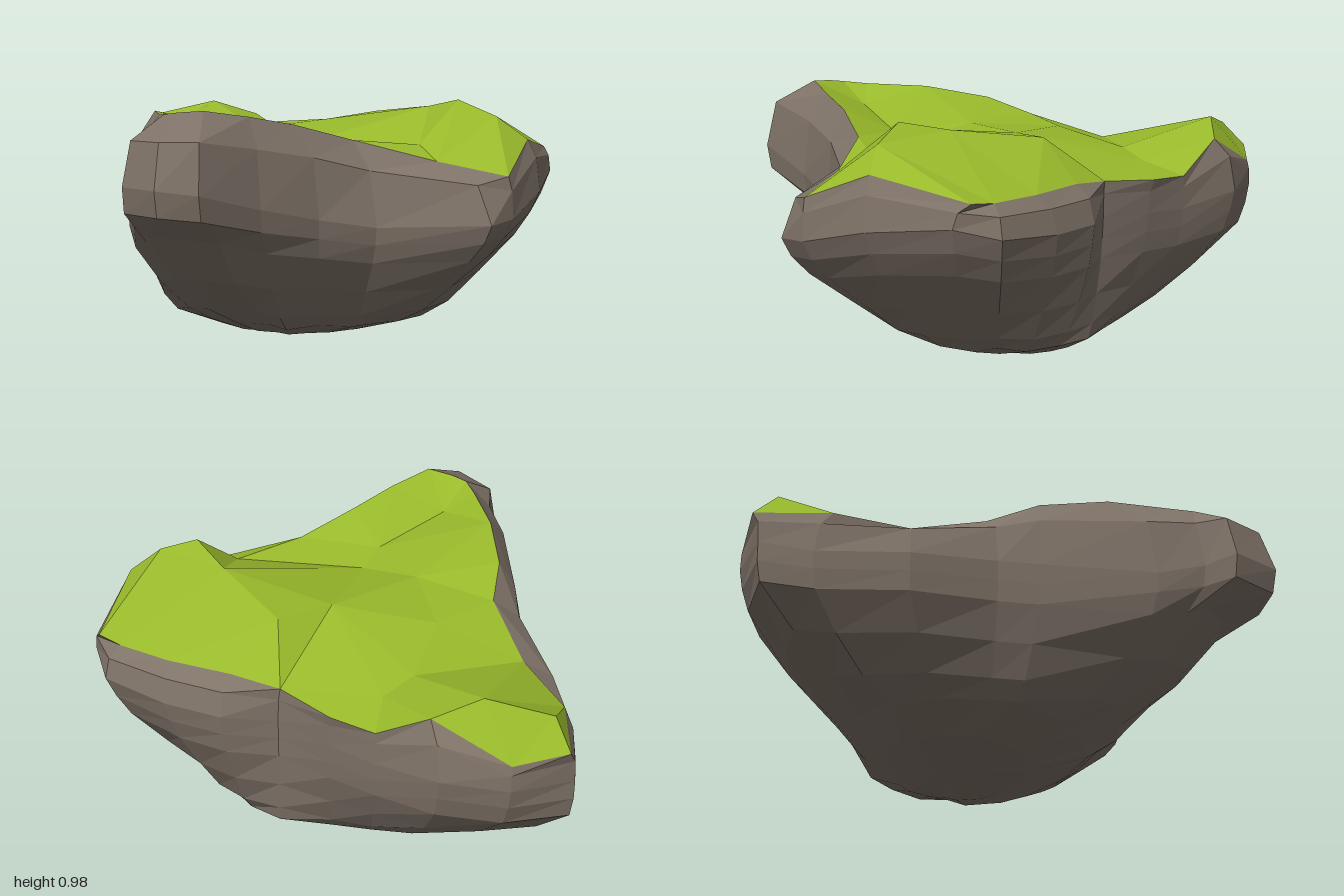
import * as THREE from 'three';

// Widest outline of the boulder, [x, y, z], running from the back corner round by +x.
const girth = [
  [-0.92, 0.58, -0.9], [-0.7, 0.58, -1], [-0.45, 0.6, -1], [-0.21, 0.56, -0.85], [-0.03, 0.57, -0.76],
  [0.17, 0.58, -0.64], [0.38, 0.6, -0.67], [0.6, 0.6, -0.6], [0.85, 0.62, -0.48], [0.92, 0.66, -0.32],
  [0.9, 0.62, 0.02], [0.82, 0.55, 0.3], [0.75, 0.54, 0.42], [0.32, 0.52, 0.41], [0.12, 0.56, 0.52],
  [-0.06, 0.62, 0.71], [-0.23, 0.7, 0.96], [-0.38, 0.72, 1], [-0.54, 0.71, 0.84], [-0.54, 0.66, 0.72],
  [-0.6, 0.6, 0.54], [-0.68, 0.6, 0.1], [-0.71, 0.6, -0.05], [-0.86, 0.56, -0.36], [-0.92, 0.54, -0.7],
];
// Edge where the rock meets the grass, point for point with the girth.
const rim = [
  [-0.9, 0.71, -0.93], [-0.7, 0.68, -0.99], [-0.41, 0.81, -0.92], [-0.21, 0.69, -0.85], [-0.04, 0.7, -0.78],
  [0.16, 0.72, -0.64], [0.35, 0.74, -0.59], [0.6, 0.74, -0.52], [0.8, 0.74, -0.43], [0.89, 0.75, -0.38],
  [0.85, 0.82, 0.02], [0.8, 0.71, 0.3], [0.53, 0.76, 0.29], [0.22, 0.84, 0.34], [0.02, 0.91, 0.49],
  [-0.12, 0.95, 0.63], [-0.26, 0.98, 0.75], [-0.36, 0.97, 0.72], [-0.42, 0.96, 0.69], [-0.46, 0.95, 0.6],
  [-0.54, 0.94, 0.36], [-0.59, 0.9, 0.1], [-0.58, 0.84, -0.1], [-0.71, 0.74, -0.37], [-0.87, 0.72, -0.64],
];
// Humps and hollows of the grass.
const humps = [
  [0.58, 0.97, 0.02], [0.73, 0.91, 0.04], [0.45, 0.93, -0.13], [0.45, 0.81, 0.18], [-0.05, 0.79, 0.2],
  [-0.27, 0.84, 0.06], [-0.1, 0.82, 0.33], [-0.34, 0.88, 0.56], [0.2, 0.88, -0.41], [0.02, 0.86, -0.24],
  [-0.32, 0.77, -0.57], [-0.22, 0.74, -0.68], [-0.59, 0.87, -0.86], [-0.84, 0.81, -0.85], [-0.38, 0.83, -0.28],
];

const lerp = THREE.MathUtils.lerp;
const mix = (a, b, t, ty) => [lerp(a[0], b[0], t), lerp(a[1], b[1], ty), lerp(a[2], b[2], t)];

// Small repeatable offset that roughens the facets.
const rough = (i, k, size) => size * Math.sin(i * 12.9 + k * 7.3 + Math.sin(i * 3.7));

function facetedMesh(name, positions, color) {
  const geometry = new THREE.BufferGeometry();
  geometry.setAttribute('position', new THREE.Float32BufferAttribute(positions, 3));
  geometry.computeVertexNormals();
  const mesh = new THREE.Mesh(geometry, new THREE.MeshStandardMaterial({ color, flatShading: true }));
  mesh.name = name;
  return mesh;
}

// Joins rings of points from the foot upwards; a ring of one point closes the surface.
function skin(rings) {
  const out = [];
  for (let r = 0; r < rings.length - 1; r++) {
    const low = rings[r], high = rings[r + 1];
    for (let i = 0; i < girth.length; i++) {
      const a = low[i % low.length], b = low[(i + 1) % low.length];
      const c = high[i], d = high[(i + 1) % high.length];
      if (a !== b) out.push(...a, ...c, ...b);
      out.push(...b, ...c, ...d);
    }
  }
  return out;
}

// True when a point seen from above lies within the rim.
function insideRim(x, z) {
  let inside = false;
  rim.forEach(([ax, , az], i) => {
    const [bx, , bz] = rim[(i + 1) % rim.length];
    if (az > z !== bz > z && x < ax + (bx - ax) * (z - az) / (bz - az)) inside = !inside;
  });
  return inside;
}

// Joins rim and humps into triangles whose circumcircles, seen from above, hold no other point.
function drape() {
  const pts = [...rim, ...humps], out = [];
  for (let i = 0; i < pts.length; i++) for (let j = i + 1; j < pts.length; j++) for (let k = j + 1; k < pts.length; k++) {
    const a = pts[i], b = pts[j], c = pts[k];
    const bx = b[0] - a[0], bz = b[2] - a[2], cx = c[0] - a[0], cz = c[2] - a[2];
    const turn = bx * cz - bz * cx;
    if (Math.abs(turn) < 1e-6) continue;
    const bb = bx * bx + bz * bz, cc = cx * cx + cz * cz;
    const ux = (cz * bb - bz * cc) / (2 * turn), uz = (bx * cc - cx * bb) / (2 * turn);
    const radius = Math.hypot(ux, uz) - 1e-7;
    if (pts.some((p) => Math.hypot(p[0] - a[0] - ux, p[2] - a[2] - uz) < radius)) continue;
    if (!insideRim((a[0] + b[0] + c[0]) / 3, (a[2] + b[2] + c[2]) / 3)) continue;
    out.push(...a, ...(turn > 0 ? [...c, ...b] : [...b, ...c]));
  }
  return out;
}

export function createModel() {
  const group = new THREE.Group();
  group.name = 'grassyBoulder';

  // Foot: a rounded patch that reaches further towards the back corner.
  const foot = girth.map(([x, , z], i) => {
    const dx = x + 0.04, dz = z + 0.16, len = Math.hypot(dx, dz);
    const ux = dx / len, uz = dz / len;
    const reach = 1 + Math.abs(2 * ux * uz) * (0.05 - 0.14 * (ux + uz));
    return [-0.04 + 0.5 * ux * reach, 0.1 + rough(i, 1, 0.012), -0.16 + 0.43 * uz * reach];
  });
  const base = foot.map((p) => mix([-0.13, 0, -0.28], p, 0.62, 0.3));

  // Underside: full on the -x side, undercut below the front lump and the back corner.
  const under = (t, slope, ty, undercut, k) => girth.map((p, i) => {
    const cut = undercut * Math.max(0, p[2] - 0.5) + Math.max(0, -p[2] - 0.9) * ty;
    return mix(p, foot[i], t + slope * p[0] + cut + rough(i, k, 0.03 * ty), ty);
  });
  const heel = under(0.72, 0.08, 0.87, 0.15, 2);
  const lower = under(0.41, 0.11, 0.62, 0.2, 3);
  const belly = under(0.12, 0.09, 0.33, 0.38, 4);
  const chin = under(0.04, 0.04, 0.16, 0, 6);

  // Shoulder bulges between girth and rim.
  const shoulder = girth.map((p, i) => mix(p, rim[i], 0.26 + rough(i, 5, 0.06), 0.66));
  const rock = skin([[[-0.13, 0, -0.3]], base, foot, heel, lower, belly, chin, girth, shoulder, rim]);
  group.add(facetedMesh('rock', rock, 0x7f7368));
  group.add(facetedMesh('grass', drape(), 0x98b92b));
  return group;
}
